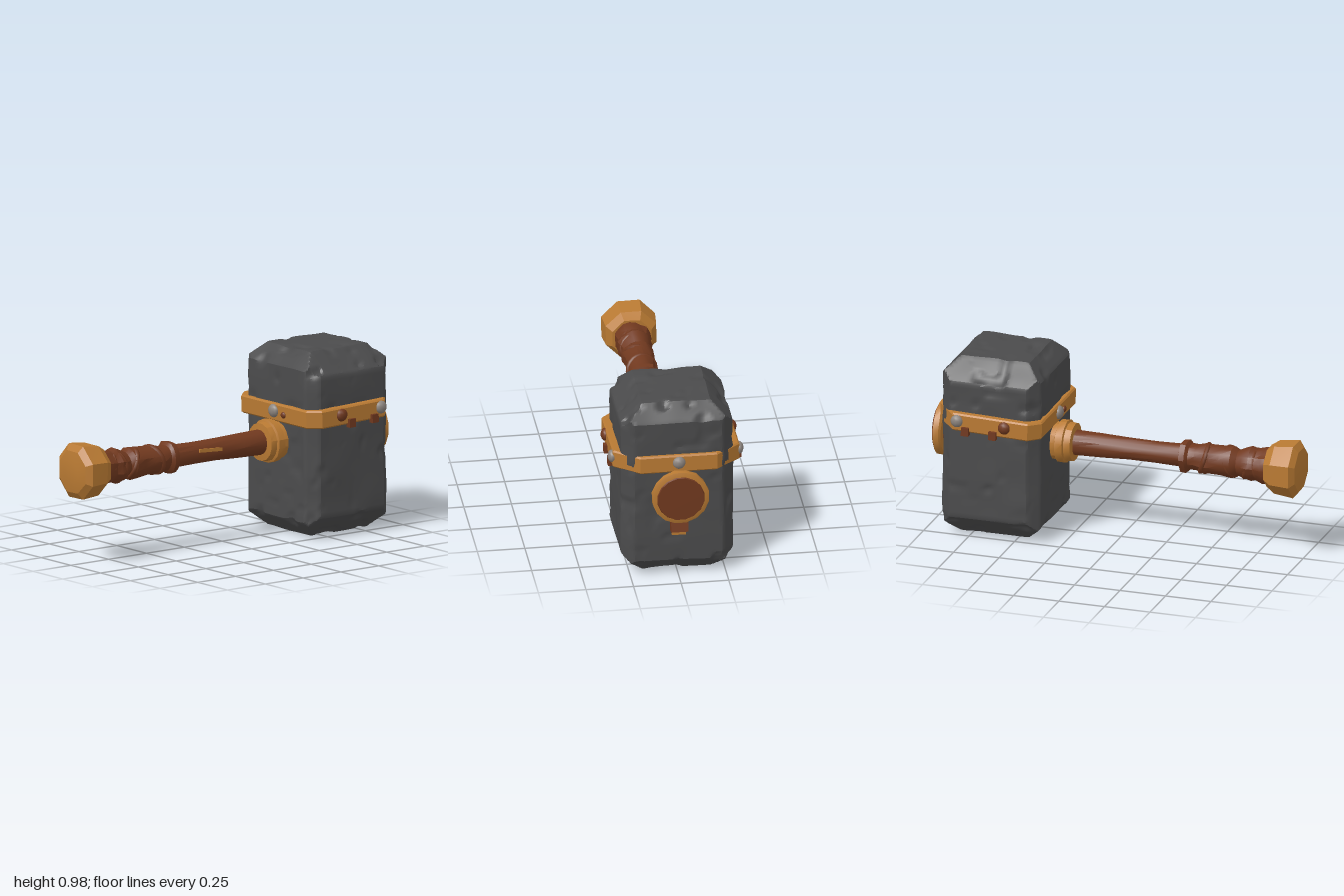
import * as THREE from 'three';
import { mergeVertices, toCreasedNormals } from 'three/addons/utils/BufferGeometryUtils.js';

const mat = (name, color) => {
  const m = new THREE.MeshStandardMaterial({ color });
  m.name = name;
  return m;
};

// Smooth lattice noise in the range -1..1
function hash(x, y, z) {
  const s = Math.sin(x * 127.1 + y * 311.7 + z * 74.7) * 43758.5453;
  return (s - Math.floor(s)) * 2 - 1;
}
function noise(x, y, z) {
  const i = [x, y, z].map(Math.floor);
  const f = [x - i[0], y - i[1], z - i[2]].map(t => t * t * (3 - 2 * t));
  let sum = 0;
  for (let c = 0; c < 8; c++) {
    const b = [c & 1, (c >> 1) & 1, c >> 2];
    const w = b.reduce((p, v, k) => p * (v ? f[k] : 1 - f[k]), 1);
    sum += w * hash(i[0] + b[0], i[1] + b[1], i[2] + b[2]);
  }
  return sum;
}

// Move every vertex by a rule, then rebuild normals with sharp creases
function reshape(geometry, rule, crease = 0.6) {
  geometry.deleteAttribute('normal');
  geometry.deleteAttribute('uv');
  const g = mergeVertices(geometry, 1e-4);
  const p = g.attributes.position, v = new THREE.Vector3();
  for (let i = 0; i < p.count; i++) {
    rule(v.fromBufferAttribute(p, i));
    p.setXYZ(i, v.x, v.y, v.z);
  }
  return toCreasedNormals(g, crease);
}

export function createModel() {
  const model = new THREE.Group();
  model.name = 'warHammer';
  const stone = mat('darkStone', 0x4b4b4c);
  const gold = mat('agedGold', 0xb97a33);
  const leather = mat('brownLeather', 0x71391f);
  const iron = mat('greyIron', 0x8c847e);
  const AXIS = 0.493, HEAD_Z = -0.63;

  const add = (name, geometry, material, x = 0, y = 0, z = 0, parent = model) => {
    const m = new THREE.Mesh(geometry, material);
    m.name = name;
    m.position.set(x, y, z);
    parent.add(m);
    return m;
  };
  // Turned part along the handle axis; profile is [z, radius] pairs
  const turned = (name, profile, material, sides, rough = 0, crease = 0.5) => {
    const g = new THREE.LatheGeometry(profile.map(([z, r]) => new THREE.Vector2(r, z)), sides);
    g.rotateY(Math.PI / sides);
    g.rotateX(Math.PI / 2);
    return add(name, reshape(g, v => {
      const n = 1 + rough * noise(v.x * 25 + 9, v.y * 25, v.z * 14);
      v.x *= n;
      v.y *= n;
    }, crease), material, 0, AXIS, 0);
  };

  // Stone head: chamfered block with a chipped surface
  const half = [0.296, 0.49, 0.272];
  const chamfers = [['x', 'y', 0.672], ['z', 'y', 0.678], ['x', 'z', 0.508]];
  const block = new THREE.BoxGeometry(half[0] * 2, half[1] * 2, half[2] * 2, 36, 56, 34);
  add('stoneHead', reshape(block, v => {
    for (let pass = 0; pass < 3; pass++) {
      for (const [a, b, limit] of chamfers) {
        const over = Math.abs(v[a]) + Math.abs(v[b]) - limit;
        if (over > 0) {
          v[a] -= Math.sign(v[a]) * over / 2;
          v[b] -= Math.sign(v[b]) * over / 2;
        }
      }
    }
    const broad = noise(v.x * 7 + 3, v.y * 7, v.z * 7);
    const chip = noise(v.x * 15, v.y * 15 + 5, v.z * 15);
    v.multiplyScalar(1 + 0.012 * broad - 0.05 * Math.max(0, chip - 0.3) - 0.004);
  }, 0.45), stone, 0, 0.49, HEAD_Z);

  // Metal band around the head, tilted slightly
  const band = new THREE.Group();
  band.name = 'headBand';
  band.position.set(0, 0.651, HEAD_Z);
  band.rotation.x = 0.035;
  model.add(band);
  const loop = (path, w, f, b, cf, cb) => {
    [[-w + cf, -f], [w - cf, -f], [w, -f + cf], [w, b - cb], [w - cb * 1.2, b],
      [-w + cb * 1.2, b], [-w, b - cb], [-w, -f + cf]]
      .forEach(([x, y], i) => (i ? path.lineTo(x, y) : path.moveTo(x, y)));
    path.closePath();
    return path;
  };
  const ring = loop(new THREE.Shape(), 0.325, 0.28, 0.286, 0.055, 0.105);
  ring.holes.push(loop(new THREE.Path(), 0.28, 0.25, 0.255, 0.04, 0.08));
  const ringGeo = new THREE.ExtrudeGeometry(ring, {
    depth: 0.08, bevelEnabled: true, bevelSize: 0.008, bevelThickness: 0.008, bevelSegments: 1,
  });
  ringGeo.translate(0, 0, -0.04);
  ringGeo.rotateX(-Math.PI / 2);
  add('bandRing', ringGeo, gold, 0, 0, 0, band);

  // Rivets and torn leather tabs on the band
  const rivet = (name, material, x, y, z, r, ax, az) => {
    const m = add(name, new THREE.SphereGeometry(r, 10, 7), material, x, y, z, band);
    m.scale.set(ax ? 0.7 : 1, 1, az ? 0.7 : 1);
  };
  for (const s of [-1, 1]) {
    rivet('sideRivetBack', iron, s * 0.333, 0.008, -0.16, 0.034, true, false);
    rivet('sideRivetFront', leather, s * 0.333, 0.008, 0.1, 0.034, true, false);
    for (const z of [-0.11, 0.04]) {
      add('sideTab', new THREE.BoxGeometry(0.03, 0.045, 0.04), leather, s * 0.335, -0.042, z, band);
    }
  }
  rivet('frontRivet', iron, 0, 0.008, 0.288, 0.036, false, true);
  rivet('frontStud', leather, 0.082, -0.003, 0.289, 0.018, false, true);
  rivet('backRivet', iron, 0, 0.008, -0.294, 0.034, false, true);

  // Handle shaft and leather grip
  turned('shaft', [[-0.4, 0.064], [-0.25, 0.066], [-0.1, 0.064], [0.05, 0.058], [0.2, 0.058], [0.36, 0.062]],
    leather, 14, 0.06);
  turned('grip', [[0.33, 0.05], [0.34, 0.082], [0.37, 0.085], [0.385, 0.07], [0.42, 0.07], [0.47, 0.08],
    [0.5, 0.074], [0.56, 0.078], [0.62, 0.083], [0.65, 0.068], [0.68, 0.078], [0.72, 0.09], [0.75, 0.082],
    [0.79, 0.092], [0.83, 0.092]], leather, 18, 0.1);
  [[0.46, 0.3], [0.61, -0.35], [0.7, 0.25], [0.76, -0.2]].forEach(([z, tilt]) => {
    const wrap = add('gripWrap', new THREE.TorusGeometry(0.074, 0.014, 7, 20), leather, 0, AXIS, z);
    wrap.rotation.set(tilt, tilt * 0.6, 0);
  });
  const fleck = add('shaftInlay', new THREE.BoxGeometry(0.008, 0.018, 0.15), gold, 0.057, AXIS + 0.015, 0.12);
  fleck.rotation.x = -0.06;

  // Collar where the shaft meets the head
  turned('collar', [[-0.4, 0.09], [-0.365, 0.1], [-0.335, 0.1], [-0.33, 0.113], [-0.29, 0.116], [-0.285, 0.104],
    [-0.25, 0.1], [-0.245, 0.06]], gold, 16, 0.03, 0.4);

  // Faceted octagonal pommel
  turned('pommel', [[0.815, 0], [0.815, 0.11], [0.86, 0.143], [0.965, 0.153], [0.99, 0.118], [1.0, 0.06], [1.0, 0]],
    gold, 8, 0.03, 0.2);

  // Round boss on the back with a leather face
  turned('bossNeck', [[-0.955, 0.1], [-0.88, 0.1]], leather, 16);
  turned('bossRim', [[-0.992, 0], [-0.992, 0.13], [-0.985, 0.15], [-0.955, 0.15], [-0.945, 0.138], [-0.945, 0]],
    gold, 16, 0.02);
  turned('bossFace', [[-1.0, 0], [-0.999, 0.122], [-0.991, 0.126]], leather, 16);

  // Strap hanging below the boss
  const strap = add('bossStrap', new THREE.BoxGeometry(0.09, 0.11, 0.05), leather, 0, 0.325, -0.92);
  strap.rotation.x = 0.25;
  add('strapTip', new THREE.BoxGeometry(0.075, 0.035, 0.04), gold, 0, 0.262, -0.902);

  return model;
}
